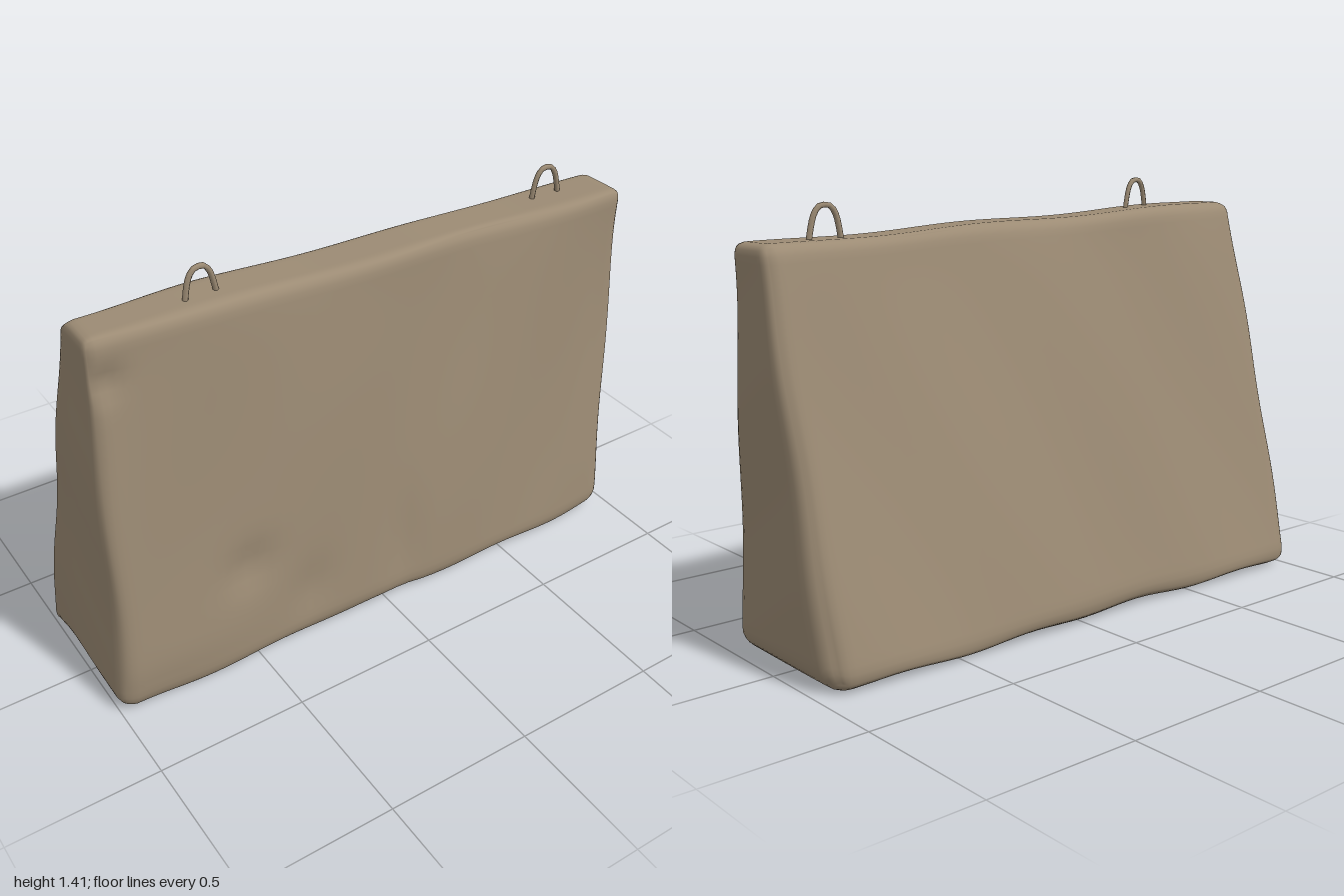
import * as THREE from 'three';
import { mergeVertices } from 'three/addons/utils/BufferGeometryUtils.js';

const lerp = THREE.MathUtils.lerp;
const bump = (x, y, cx, cy, sx, sy) => Math.exp(-(((x - cx) / sx) ** 2) - ((y - cy) / sy) ** 2);
// crowd the grid lines towards the edges so the rounding stays smooth
const crowd = (t) => 0.4 * t + 0.6 * Math.sin((t * Math.PI) / 2);

// Worn wedge: a box grid mapped to a tapered, round-edged block with dents
function blockGeometry() {
  let g = new THREE.BoxGeometry(2, 2, 2, 52, 36, 16);
  g.deleteAttribute('normal');
  g.deleteAttribute('uv');
  g = mergeVertices(g, 1e-4);
  g.clearGroups();
  const pos = g.attributes.position;
  const q = new THREE.Vector3(), lo = new THREE.Vector3(), hi = new THREE.Vector3();
  const core = new THREE.Vector3();

  for (let i = 0; i < pos.count; i++) {
    const u = crowd(pos.getX(i)), v = crowd(pos.getY(i)), w = crowd(pos.getZ(i));
    const h = (v + 1) / 2;

    // limits of the tapered block at this height
    const left = lerp(-1.0, -0.945, h), right = lerp(0.975, 0.995, h);
    const x = lerp(left, right, (u + 1) / 2);
    const top = 1.295 - 0.036 * x;
    const y = top * h;
    lo.set(left, 0.008, -0.288 + 0.212 * y);
    hi.set(right, top, 0.278 - 0.086 * y);
    q.set(x, lerp(lo.y, hi.y, h), lerp(lo.z, hi.z, (w + 1) / 2));

    // round the edges, more at the foot than at the crest
    const r = lerp(0.07, 0.035, h) + 0.012 * Math.sin(5 * x + 2) * (1 - h);
    core.copy(q).clamp(lo.clone().addScalar(r), hi.clone().subScalar(r));
    q.sub(core);
    if (q.lengthSq() > 0) q.setLength(Math.min(r, Math.max(q.length(), r)));
    q.add(core);

    // uneven faces
    const side = Math.sign(w) * Math.abs(w) ** 3;
    q.z += side * (0.005 * Math.sin(4.1 * x + 2.3 * y) + 0.004 * Math.sin(9 * x - 5 * y + 1));
    q.z += 0.006 * Math.sin(7 * x + 1) * Math.max(0, v) ** 8;
    q.x += u ** 3 * 0.005 * Math.sin(9 * y + 6 * q.z);
    q.y += Math.max(0, v) ** 5 * 0.004 * Math.sin(8 * x);
    q.y += Math.max(0, -v) ** 9 * 0.005 * Math.sin(13 * x + 5 * q.z);

    // chips, dents and a low crease in the front; worn back corners
    if (w > 0) {
      const f = w ** 3;
      q.z -= f * 0.022 * bump(x, y, -0.52, 0.38, 0.08, 0.08);
      q.z -= f * 0.012 * bump(x, y, -0.3, 0.2, 0.07, 0.1);
      q.z -= f * 0.014 * bump(x, y, 0.07, 0.2, 0.05, 0.2);
      q.z -= f * 0.02 * bump(x, y, -0.9, 1.18, 0.05, 0.05);
      q.z -= f * 0.02 * bump(x, y, -0.85, 0.02, 0.3, 0.1);
      q.z -= f * 0.012 * bump(x, y, 0.95, 0.8, 0.1, 0.5);
    } else {
      q.x -= u ** 5 * -(w ** 5) * -0.03 * (u < 0 ? -1 : -0.5) * Math.sign(u) * (1 - 0.5 * h);
    }
    pos.setXYZ(i, q.x, q.y, q.z);
  }
  g.computeVertexNormals();
  return g;
}

// Lifting loop: a thin bent bar standing in the crest
function loopGeometry() {
  const pts = [[-0.058, -0.03], [-0.052, 0.02], [-0.038, 0.075], [-0.02, 0.097],
    [0.015, 0.097], [0.034, 0.075], [0.05, 0.02], [0.058, -0.03]];
  const curve = new THREE.CatmullRomCurve3(pts.map(([x, y]) => new THREE.Vector3(x, y, 0)));
  return new THREE.TubeGeometry(curve, 18, 0.009, 6, false);
}

export function createModel() {
  const model = new THREE.Group();
  model.name = 'concreteBarrier';
  const concrete = new THREE.MeshStandardMaterial({ color: 0x9c8b74 });
  concrete.name = 'weathered concrete';

  const block = new THREE.Mesh(blockGeometry(), concrete);
  block.name = 'block';
  model.add(block);

  const loop = loopGeometry();
  [['rightLoop', -0.555, 1.31, 0.092, 0.13], ['leftLoop', 0.745, 1.265, 0.058, 0]]
    .forEach(([name, x, y, z, turn]) => {
      const mesh = new THREE.Mesh(loop, concrete);
      mesh.name = name;
      mesh.position.set(x, y, z);
      mesh.rotation.y = turn;
      model.add(mesh);
    });
  return model;
}
